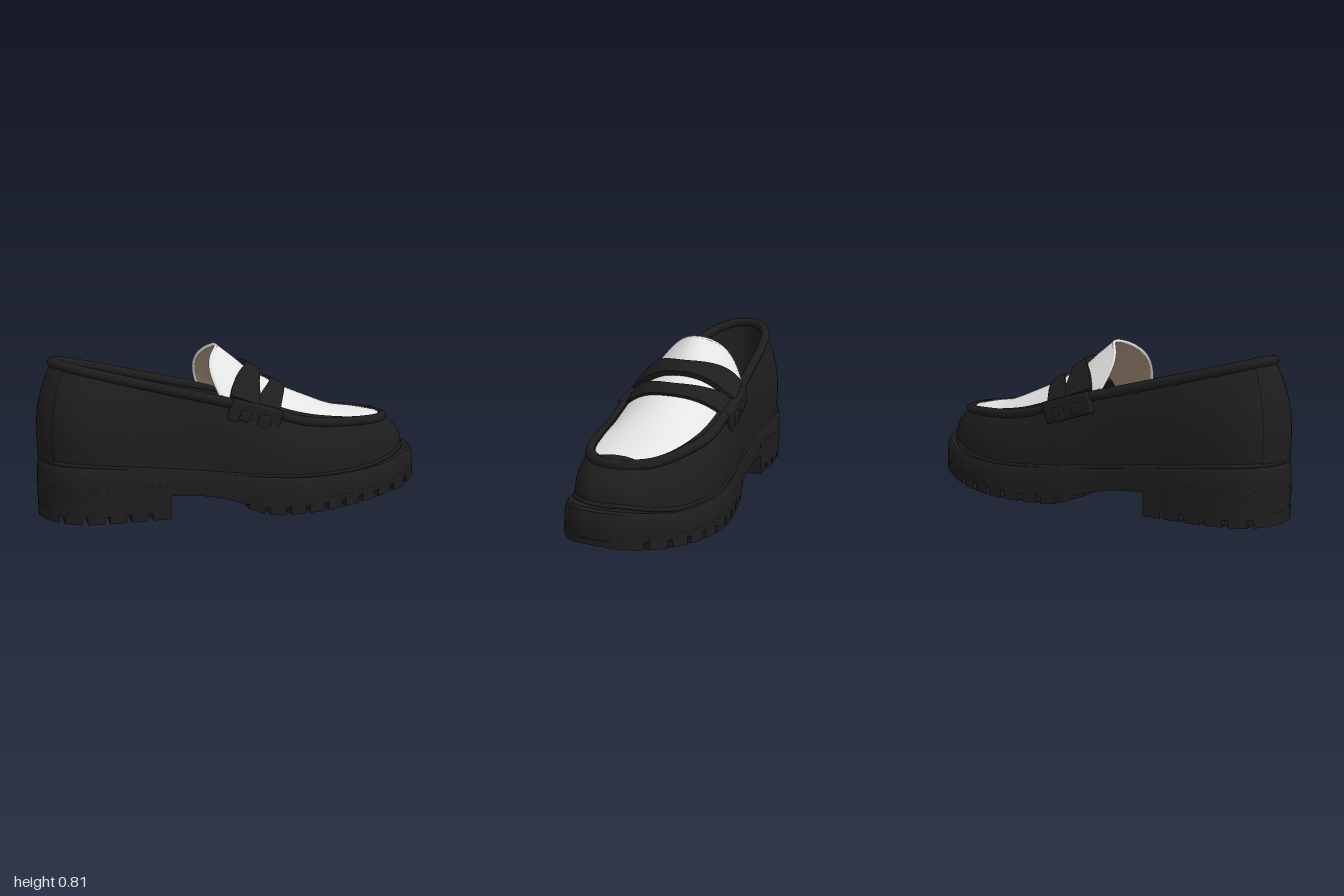
import * as THREE from 'three';
import { toCreasedNormals } from 'three/addons/utils/BufferGeometryUtils.js';
import { RoundedBoxGeometry } from 'three/addons/geometries/RoundedBoxGeometry.js';

const mat = (name, color) => new THREE.MeshStandardMaterial({ name, color, side: THREE.DoubleSide });
const black = mat('black leather', 0x1d1d1d);
const white = mat('white leather', 0xe4e4e4);
const tan = mat('tan lining', 0xa8937c);

// smooth interpolation through [x, value] pairs in rising x
const table = (...p) => (x) => {
  const n = p.length - 1;
  if (x <= p[0][0]) return p[0][1];
  if (x >= p[n][0]) return p[n][1];
  const i = p.findIndex((q) => q[0] > x) - 1;
  const slope = (j) => {
    const a = p[Math.max(j - 1, 0)], b = p[Math.min(j + 1, n)];
    return (b[1] - a[1]) / (b[0] - a[0]);
  };
  const h = p[i + 1][0] - p[i][0], t = (x - p[i][0]) / h, u = 1 - t;
  return p[i][1] * (1 + 2 * t) * u * u + slope(i) * h * t * u * u
    + p[i + 1][1] * t * t * (3 - 2 * t) - slope(i + 1) * h * t * t * u;
};

// skin over a list of rings of Vector3
function loft(rings, { closed = true, caps = false, crease = 0.6 } = {}) {
  const n = rings[0].length, pos = rings.flat().flatMap((v) => [v.x, v.y, v.z]), idx = [];
  for (let r = 0; r < rings.length - 1; r++) {
    for (let i = 0; i < (closed ? n : n - 1); i++) {
      const a = r * n + i, b = r * n + (i + 1) % n;
      idx.push(a, b, b + n, a, b + n, a + n);
    }
  }
  if (caps) {
    const e = (rings.length - 1) * n;
    for (let i = 1; i < n - 1; i++) idx.push(0, i + 1, i, e, e + i, e + i + 1);
  }
  // turn faces outward
  const V = (i) => new THREE.Vector3().fromArray(pos, i * 3);
  let volume = 0;
  for (let i = 0; i < idx.length; i += 3) volume += V(idx[i]).dot(V(idx[i + 1]).cross(V(idx[i + 2])));
  if (volume < 0) idx.reverse();
  const g = new THREE.BufferGeometry();
  g.setAttribute('position', new THREE.Float32BufferAttribute(pos, 3));
  g.setIndex(idx);
  return toCreasedNormals(g, crease);
}

// plan outlines (x, z): sole edge, and collar plus toe seam, with matching points
const N = 120;
const sample = (p) => {
  const c = new THREE.CatmullRomCurve3(p.map(([x, z]) => new THREE.Vector3(x, 0, z)), true, 'catmullrom', 0.5);
  return Array.from({ length: N }, (_, i) => c.getPoint(i / N));
};
const outline = sample([[1, -0.02], [0.975, 0.09], [0.86, 0.205], [0.65, 0.29], [0.42, 0.35], [0.22, 0.375],
  [0.03, 0.35], [-0.18, 0.295], [-0.45, 0.277], [-0.7, 0.278], [-0.86, 0.235], [-0.96, 0.13], [-1, 0],
  [-0.96, -0.14], [-0.86, -0.235], [-0.67, -0.28], [-0.4, -0.285], [-0.12, -0.3], [0.1, -0.345],
  [0.4, -0.385], [0.66, -0.34], [0.86, -0.24], [0.97, -0.13]]);
const rim = sample([[0.82, -0.03], [0.8, 0.06], [0.7, 0.15], [0.52, 0.205], [0.35, 0.235], [0.2, 0.255],
  [0.02, 0.26], [-0.18, 0.24], [-0.42, 0.205], [-0.62, 0.175], [-0.78, 0.135], [-0.875, 0.07], [-0.905, -0.01],
  [-0.875, -0.09], [-0.78, -0.16], [-0.6, -0.205], [-0.4, -0.23], [-0.12, -0.262], [0.08, -0.285],
  [0.35, -0.28], [0.57, -0.245], [0.73, -0.19], [0.8, -0.11]]);

// heights along the shoe
const soleTop = table([-1, 0.285], [-0.8, 0.275], [-0.4, 0.235], [0, 0.195], [0.4, 0.172], [0.7, 0.185], [0.85, 0.215], [0.98, 0.25]);
const soleLow = table([-1, 0.1], [-0.39, 0.115], [-0.2, 0.1], [-0.05, 0.065], [0.05, 0.04], [0.2, 0.035], [0.5, 0.042], [0.8, 0.075], [1, 0.115]);
const treadLow = table([-0.03, 0.04], [0.08, 0.006], [0.2, 0], [0.5, 0.008], [0.8, 0.042], [1, 0.085]);
const rimY = table([-0.91, 0.745], [-0.5, 0.645], [-0.12, 0.555], [0.1, 0.5], [0.24, 0.45], [0.4, 0.42], [0.82, 0.402]);
const crownY = table([-0.085, 0.805], [0, 0.74], [0.08, 0.675], [0.18, 0.62], [0.28, 0.57], [0.4, 0.52], [0.55, 0.465], [0.7, 0.44], [0.82, 0.415]);
const sweep = table([-0.085, 0.075], [0, 0.05], [0.1, 0.03], [0.3, 0.01], [0.5, 0]);
const lift = table([-0.085, 0.04], [0.02, 0.015], [0.12, 0]);
// how far the foot of the upper stands in from the sole edge
const footInset = table([-1, 0.18], [-0.6, 0.28], [0, 0.38], [1, 0.4]);

// ring between sole edge (k = 0) and rim (k = 1)
const ring = (k, y, zs = 1) => outline.map((o, i) => {
  const p = o.clone().lerp(rim[i], k);
  return new THREE.Vector3(p.x, y(p.x), p.z * zs);
});

// z range of an outline at x
function span(pts, x) {
  const zs = [];
  pts.forEach((a, i) => {
    const b = pts[(i + 1) % N];
    if ((a.x - x) * (b.x - x) <= 0 && a.x !== b.x) zs.push(a.z + (b.z - a.z) * (x - a.x) / (b.x - a.x));
  });
  return zs.length ? [Math.min(...zs), Math.max(...zs)] : [-0.03, -0.03];
}

// cross slab of the sole from x0 to x1, bent into a chevron
function slab(x0, x1, low, high, bend = 0, steps = 5) {
  const rings = [];
  for (let i = 0; i <= steps; i++) {
    const x = x0 + (x1 - x0) * i / steps, [a, b] = span(outline, x), m = (a + b) / 2;
    const mx = x + bend * (b - a) / 0.7;
    const P = (px, y, z) => new THREE.Vector3(px, y, z);
    rings.push([P(x, low(x), a), P(mx, low(x), m), P(x, low(x), b), P(x, high(x), b), P(mx, high(x), m), P(x, high(x), a)]);
  }
  return loft(rings, { caps: true });
}

// curved surface of vamp and tongue: x along the crown, s across from -1 to 1
function vampPoint(x, s, up = 0) {
  const [a, b] = span(rim, x), zc = -0.04, ye = rimY(x) + lift(x);
  const side = (s > 0 ? b - zc : zc - a) * 0.97;
  const n = new THREE.Vector3(0.35 * (1 - Math.abs(s)), 0.8, 0.8 * s).normalize();
  return new THREE.Vector3(x - sweep(x) * Math.sin(2.2 * s) ** 2, ye + (crownY(x) - ye) * (1 - Math.abs(s) ** 2.1), zc + s * side)
    .addScaledVector(n, up);
}
function vampSheet(x0, x1, rows, up, s0 = -1, s1 = 1) {
  const rings = [];
  for (let r = 0; r <= rows; r++) {
    const x = x0 + (x1 - x0) * r / rows;
    rings.push(Array.from({ length: 25 }, (_, i) => vampPoint(x, s0 + (s1 - s0) * i / 24, up)));
  }
  return loft(rings, { closed: false, crease: 1.2 });
}

export function createModel() {
  const shoe = new THREE.Group();
  shoe.name = 'loafer';
  const add = (name, geo, material = black) => {
    const m = new THREE.Mesh(geo, material);
    m.name = name;
    shoe.add(m);
  };

  // platform sole with bevelled top edge
  add('midsole', loft([
    ring(1, soleLow, 0), ring(0.03, soleLow), ring(0, (x) => soleLow(x) + 0.015),
    ring(0.03, (x) => soleTop(x) - 0.05), ring(0.1, (x) => soleTop(x) - 0.012),
    ring(0.18, soleTop), ring(1, soleTop, 0)]));

  // heel block and chevron tread lugs
  add('heelBlock', slab(-0.999, -0.39, () => 0.035, () => 0.17, 0, 24));
  for (let i = 0; i < 6; i++) {
    const x = -0.997 + i * 0.103, last = i === 5;
    add('heelLug', slab(x, last ? -0.39 : x + 0.08, () => 0, () => 0.06, last ? 0 : 0.04));
  }
  for (let i = 0; i < 10; i++) {
    const x = -0.02 + i * 0.102;
    add('foreLug', slab(x, Math.min(x + 0.079, 0.996), treadLow, (t) => soleLow(t) + 0.03, 0.04 * (1 - i / 10)));
  }

  // upper wall, heel counter and inside
  const wall = (t, out = 0) => outline.map((o, i) => {
    const k0 = footInset(o.x), bulge = o.x < 0 ? 0.12 * -o.x * Math.sin(Math.PI * t) : 0;
    const p = o.clone().lerp(rim[i], k0 + (1 - k0) * t ** 2.5 - bulge - out);
    p.y = soleTop(o.x) * (1 - t) + rimY(rim[i].x) * t;
    return p;
  });
  const levels = Array.from({ length: 13 }, (_, i) => i / 12);
  add('upper', loft(levels.map((t) => wall(t)), { crease: 1.2 }));
  add('welt', new THREE.TubeGeometry(new THREE.CatmullRomCurve3(wall(0), true), 160, 0.011, 6, true));
  add('heelCounter', loft(levels.map((t) => wall(t, 0.07).slice(56, 70)), { closed: false, crease: 1.2 }));
  const insoleRing = (zs) => rim.map((p) => new THREE.Vector3(p.x * 0.985, soleTop(p.x) + 0.04, p.z * zs + (p.x + 0.7) * 0.05));
  const rimRing = rim.map((p) => new THREE.Vector3(p.x, rimY(p.x), p.z));
  add('innerLining', loft([rimRing.map((p) => new THREE.Vector3(p.x * 0.985, p.y, p.z * 0.94)), insoleRing(0.85)], { crease: 1.2 }));
  add('insole', loft([insoleRing(0.85), insoleRing(0)]), tan);
  add('collarBinding', new THREE.TubeGeometry(new THREE.CatmullRomCurve3(rimRing, true), 180, 0.025, 8, true));

  // vamp running up into the tongue, framed by a black apron seam
  add('vamp', vampSheet(-0.085, 0.815, 40, 0), white);
  add('apronSeamLeft', vampSheet(0.18, 0.815, 30, 0.01, 0.87, 1));
  add('apronSeamRight', vampSheet(0.18, 0.815, 30, 0.01, -1, -0.89));
  add('apronSeamToe', vampSheet(0.778, 0.818, 6, 0.01));
  add('tongueLining', vampSheet(-0.082, 0.1, 8, -0.014), tan);
  const tongueEdge = Array.from({ length: 25 }, (_, i) => vampPoint(-0.085, i / 12 - 1, -0.007));
  add('tongueEdge', new THREE.TubeGeometry(new THREE.CatmullRomCurve3(tongueEdge), 48, 0.009, 6), white);

  // saddle strap: two bands that meet beside the slot
  const middle = (s) => 0.16 - 0.09 * s * s;
  const gap = (s) => 0.032 * Math.max(0, 1 - (s / 0.8) ** 2);
  const band = (rear, front, rise) => loft(Array.from({ length: 33 }, (_, i) => {
    const s = i / 16 - 1, a = rear(s), b = front(s), m = (a + b) / 2;
    return [vampPoint(a, s, -0.01), vampPoint(a, s, rise), vampPoint(m, s, rise + 0.004),
      vampPoint(b, s, rise), vampPoint(b, s, -0.01)];
  }), { caps: true });
  add('rearStrap', band((s) => 0.06 - 0.11 * s * s, (s) => middle(s) - gap(s), 0.028));
  add('frontStrap', band((s) => middle(s) + gap(s), (s) => 0.265 - 0.09 * s * s, 0.014));

  // strap ends sewn to the sides
  for (const [z, side] of [[0.262, 1], [-0.292, -1]]) {
    const end = new THREE.Group();
    end.name = side > 0 ? 'leftStrapEnd' : 'rightStrapEnd';
    end.position.set(0.03, 0.485, z);
    end.rotation.set(0, side * -0.07, -0.28);
    for (const [x, y, w, h, d] of [[0, 0, 0.27, 0.11, 0.045], [0.05, -0.02, 0.07, 0.075, 0.06], [-0.05, -0.015, 0.06, 0.06, 0.056]]) {
      const m = new THREE.Mesh(new RoundedBoxGeometry(w, h, d, 2, 0.015), black);
      m.name = 'strapEnd';
      m.position.set(x, y, 0);
      end.add(m);
    }
    shoe.add(end);
  }
  return shoe;
}
